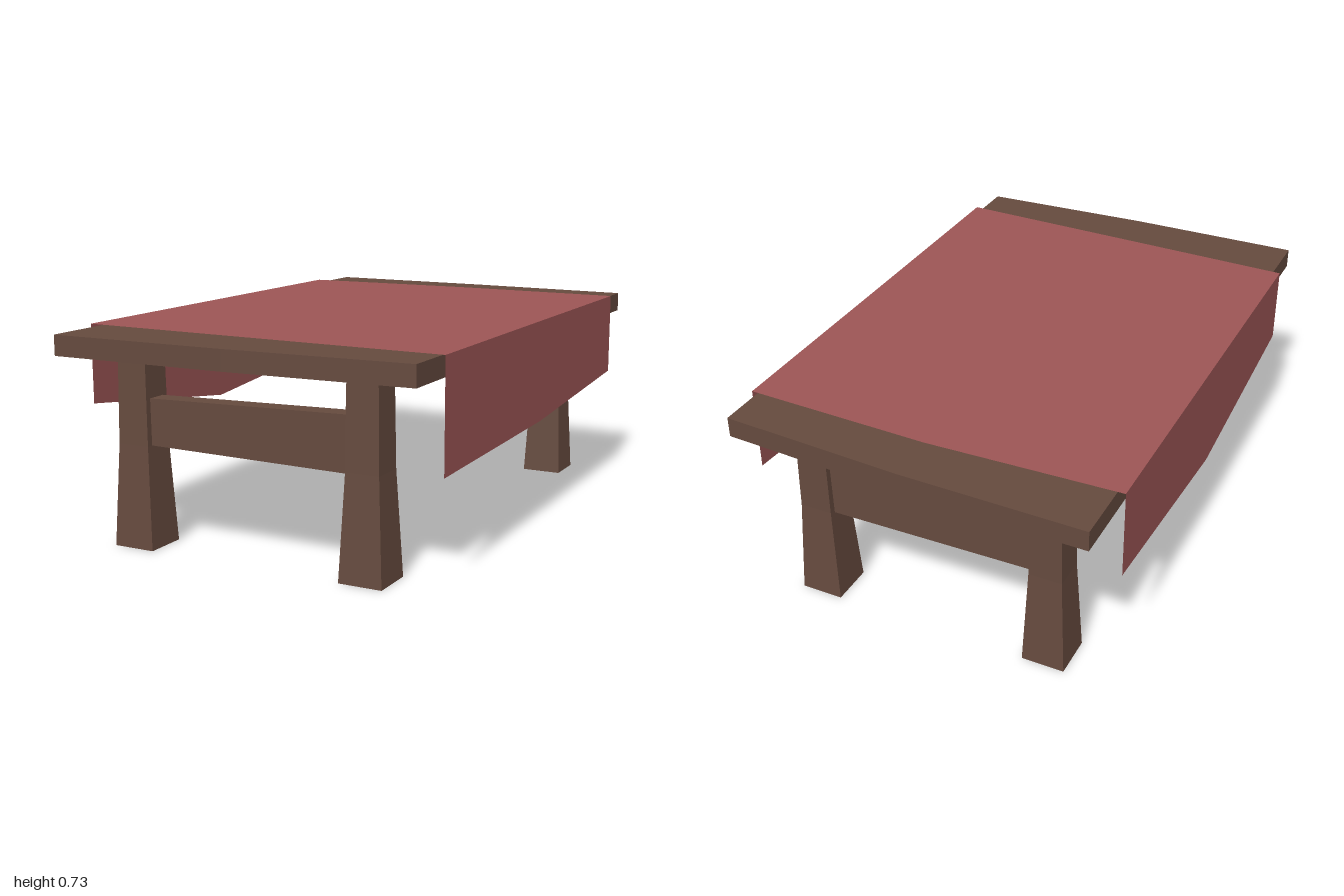
import * as THREE from 'three';

const wood = new THREE.MeshStandardMaterial({ color: 0x654a3e, flatShading: true });
const fabric = new THREE.MeshStandardMaterial({ color: 0x9c5555, flatShading: true, side: THREE.DoubleSide });

// Box whose corners are moved by a rule, given as a function of the vertex
function shapedBox(name, size, segments, rule) {
  const box = new THREE.BoxGeometry(...size, ...segments);
  const pos = box.attributes.position;
  const v = new THREE.Vector3();
  for (let i = 0; i < pos.count; i++) {
    rule(v.fromBufferAttribute(pos, i));
    pos.setXYZ(i, v.x, v.y, v.z);
  }
  const geometry = box.toNonIndexed();
  geometry.computeVertexNormals();
  const mesh = new THREE.Mesh(geometry, wood);
  mesh.name = name;
  return mesh;
}

// Slightly uneven slab: end edges bend at the middle
function makeTabletop() {
  const front = [1.0, 1.0, 0.975];
  const back = [-1.0, -0.99, -0.955];
  const top = shapedBox('tabletop', [1.285, 0.07, 2], [2, 1, 1], (v) => {
    const k = Math.sign(Math.round(v.x * 10)) + 1;
    v.z = v.z > 0 ? front[k] : back[k];
  });
  top.position.set(0.002, 0.685, 0);
  return top;
}

// Square leg flaring toward the foot
function makeLeg(name, x, z) {
  const leg = shapedBox(name, [1, 2, 1], [1, 2, 1], (v) => {
    const [half, y] = v.y > 0.5 ? [0.054, 0.66] : v.y > -0.5 ? [0.058, 0.35] : [0.075, 0];
    v.set(Math.sign(v.x) * half, y, Math.sign(v.z) * half);
  });
  leg.position.set(x, 0, z);
  return leg;
}

// Crossbar growing taller toward +x
function makeCrossbar(name, z) {
  const bar = shapedBox(name, [0.84, 1, 0.07], [1, 1, 1], (v) => {
    const right = v.x > 0;
    v.y = v.y > 0 ? (right ? 0.526 : 0.507) : (right ? 0.339 : 0.351);
  });
  bar.position.set(-0.005, 0, z);
  return bar;
}

// Thin cloth: each row runs from the left hem over the top to the right hem
function makeCloth() {
  const rows = [
    { z: [-0.795, -0.815, -0.795], x: 0.662, hem: [0.415, 0.425] },
    { z: [0, 0, 0], x: 0.664, hem: [0.345, 0.37] },
    { z: [0.778, 0.802, 0.825], x: 0.667, hem: [0.45, 0.355] },
  ];
  const y = 0.726;
  const points = rows.flatMap(({ z, x, hem }) => [
    -0.669, hem[0], z[0],
    -0.669, y, z[0],
    0, y, z[1],
    x, y, z[2],
    x, hem[1], z[2],
  ]);
  const index = [];
  for (let i = 0; i < 2; i++) {
    for (let j = 0; j < 4; j++) {
      const a = i * 5 + j;
      const b = a + 5;
      index.push(a, b, a + 1, b, b + 1, a + 1);
    }
  }
  const sheet = new THREE.BufferGeometry();
  sheet.setAttribute('position', new THREE.Float32BufferAttribute(points, 3));
  sheet.setIndex(index);
  const geometry = sheet.toNonIndexed();
  geometry.computeVertexNormals();
  const cloth = new THREE.Mesh(geometry, fabric);
  cloth.name = 'cloth';
  return cloth;
}

export function createModel() {
  const table = new THREE.Group();
  table.name = 'table';
  table.add(makeTabletop(), makeCloth());
  for (const [end, z] of [['front', 0.82], ['back', -0.785]]) {
    table.add(makeLeg(end + 'LeftLeg', 0.42, z));
    table.add(makeLeg(end + 'RightLeg', -0.43, z));
    table.add(makeCrossbar(end + 'Crossbar', z));
  }
  return table;
}
